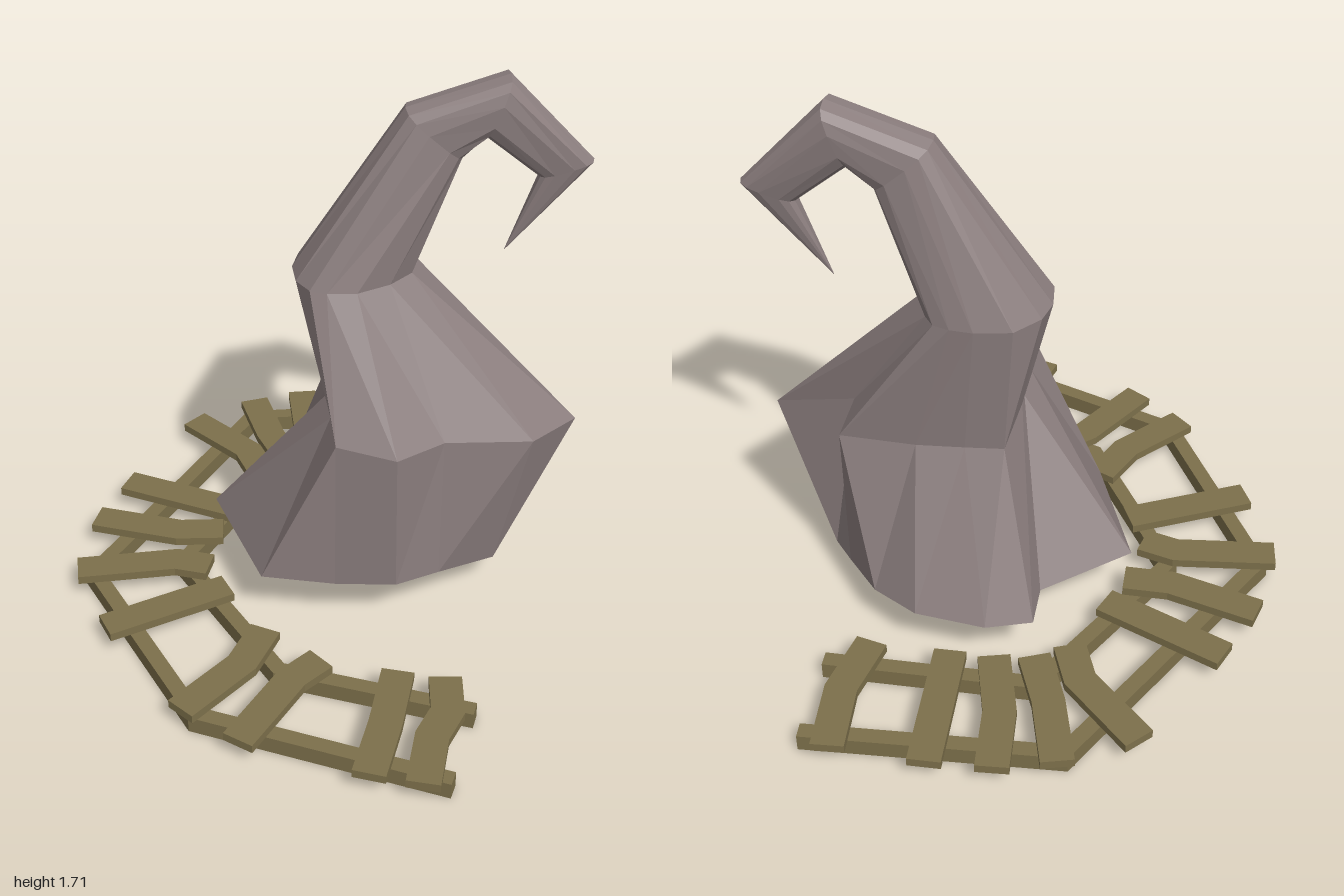
import * as THREE from 'three';

// The crag is an open shell, so its inside shows from below
const rockMat = new THREE.MeshStandardMaterial({ color: 0x8c7f7f, flatShading: true, side: THREE.DoubleSide });
const woodMat = new THREE.MeshStandardMaterial({ color: 0x7d704b, flatShading: true });

// Rings of the crag, from the -x side round by the front
const base = [
  [-0.35, 0.2, -0.18], [-0.2, 0.19, 0.21], [0.03, 0.18, 0.24], [0.22, 0.18, 0.25], [0.36, 0.17, 0.18],
  [0.55, 0.12, 0.05], [0.62, 0.08, -0.15], [0.54, 0.12, -0.27], [0.42, 0.16, -0.43], [0.27, 0.18, -0.53],
  [0.05, 0.18, -0.555], [-0.09, 0.18, -0.51], [-0.09, 0.18, -0.37],
];
const shoulder = [
  [0.01, 0.69, -0.06], [0.02, 0.7, 0.08], [0.03, 0.7, 0.235], [0.21, 0.68, 0.285], [0.36, 0.67, 0.18],
  [0.64, 0.62, 0.11], [0.8, 0.58, -0.07], [0.52, 0.69, -0.16], [0.54, 0.64, -0.28], [0.3, 0.65, -0.3],
  [0.15, 0.66, -0.3], [0.03, 0.67, -0.3], [0.01, 0.69, -0.1],
];
const waist = [
  [-0.09, -0.15], [-0.08, -0.06], [-0.04, 0], [0.01, 0.02], [0.1, 0.02], [0.2, -0.03], [0.27, -0.1],
  [0.26, -0.27], [0.23, -0.31], [0.18, -0.325], [0.11, -0.33], [0, -0.31], [-0.07, -0.23],
].map(([x, z]) => [x, 1.1, z]);

// Tilted, slightly squared ring between an outer and an inner point of the hook
const squared = (v) => Math.sign(v) * Math.abs(v) ** 0.7;
function hookRing([ox, oy], [ix, iy], halfWidth) {
  return base.map((_, k) => {
    const a = (k / base.length) * Math.PI * 2;
    const t = (1 - squared(Math.cos(a))) / 2;
    return [ox + (ix - ox) * t, oy + (iy - oy) * t, -0.163 + halfWidth * squared(Math.sin(a))];
  });
}

// Skin of quads over the rings, open below and drawn to a point at the tip
function loft(rings, tip) {
  const pos = [];
  const n = rings[0].length;
  const last = rings[rings.length - 1];
  for (let k = 0; k < n; k++) {
    const m = (k + 1) % n;
    for (let j = 0; j < rings.length - 1; j++) {
      const a = rings[j][k], b = rings[j][m], c = rings[j + 1][m], d = rings[j + 1][k];
      pos.push(...a, ...b, ...c, ...a, ...c, ...d);
    }
    pos.push(...last[k], ...last[m], ...tip);
  }
  const geo = new THREE.BufferGeometry();
  geo.setAttribute('position', new THREE.Float32BufferAttribute(pos, 3));
  geo.computeVertexNormals();
  return geo;
}

// Flat beam of constant width along a bent path in the xz plane, with mitred corners
function beam(name, path, width, y, height) {
  const pts = path.map(([x, z]) => new THREE.Vector2(x, -z));
  const left = [], right = [];
  pts.forEach((p, i) => {
    const d0 = p.clone().sub(pts[Math.max(i - 1, 0)]).normalize();
    const d1 = pts[Math.min(i + 1, pts.length - 1)].clone().sub(p).normalize();
    const d = d0.clone().add(d1).normalize();
    const side = new THREE.Vector2(-d.y, d.x);
    const off = width / 2 / Math.abs(d.dot(i > 0 ? d0 : d1));
    left.push(p.clone().addScaledVector(side, off));
    right.unshift(p.clone().addScaledVector(side, -off));
  });
  const geo = new THREE.ExtrudeGeometry(new THREE.Shape([...left, ...right]), { depth: height, bevelEnabled: false });
  geo.rotateX(-Math.PI / 2).translate(0, y, 0);
  const mesh = new THREE.Mesh(geo, woodMat);
  mesh.name = name;
  return mesh;
}

export function createModel() {
  const model = new THREE.Group();
  model.name = 'crookedRockAndTrack';

  // Crooked crag with a hooked tip
  const rings = [
    base, shoulder, waist,
    hookRing([0.24, 1.61], [0.41, 1.46], 0.08),
    hookRing([0.54, 1.71], [0.475, 1.525], 0.078),
    hookRing([0.8, 1.44], [0.64, 1.39], 0.04),
  ];
  const rock = new THREE.Mesh(loft(rings, [0.55, 1.14, -0.16]), rockMat);
  rock.name = 'hookedRock';
  model.add(rock);

  // Track curving around the crag
  const track = new THREE.Group();
  track.name = 'track';
  track.add(
    beam('outerRail', [[0.535, -0.925], [-0.24, -0.88], [-0.75, 0], [-0.4, 0.66], [0.34, 0.94]], 0.05, 0, 0.055),
    beam('innerRail', [[0.535, -0.64], [-0.12, -0.63], [-0.46, -0.05], [-0.15, 0.48], [0.43, 0.67]], 0.05, 0, 0.055),
  );

  // Uneven planks, some of them bent
  const planks = [
    [[0.43, -0.99], [0.445, -0.77], [0.4, -0.57]],
    [[0.145, -1], [0.155, -0.57]],
    [[-0.05, -0.99], [-0.035, -0.78], [0.02, -0.57]],
    [[-0.23, -0.94], [-0.17, -0.72], [-0.1, -0.55]],
    [[-0.45, -0.82], [-0.25, -0.62], [-0.2, -0.49]],
    [[-0.67, -0.45], [-0.28, -0.28]],
    [[-0.76, -0.25], [-0.48, -0.17], [-0.33, -0.17]],
    [[-0.8, 0.02], [-0.48, -0.015], [-0.37, 0.015]],
    [[-0.69, 0.3], [-0.31, 0.12]],
    [[-0.44, 0.67], [-0.26, 0.48], [-0.19, 0.33]],
    [[-0.27, 0.8], [-0.11, 0.55], [-0.02, 0.47]],
    [[0.1, 0.94], [0.16, 0.74], [0.21, 0.53]],
    [[0.25, 0.98], [0.29, 0.8], [0.345, 0.7], [0.35, 0.56]],
  ];
  planks.forEach((path, i) => track.add(beam(`plank${i + 1}`, path, 0.1, 0.055, 0.028)));
  model.add(track);
  return model;
}
